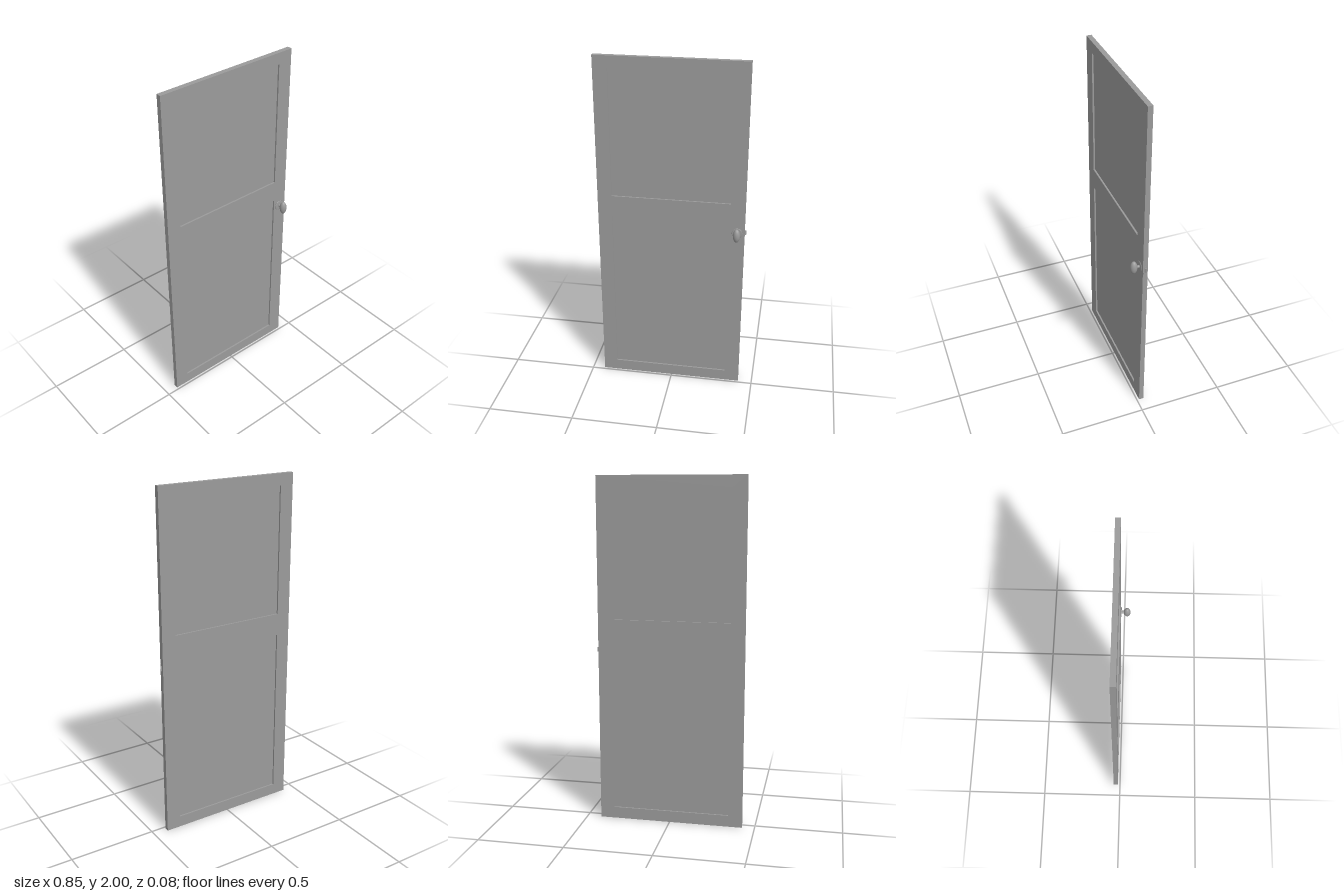
import * as THREE from 'three';

export function createModel() {
  const model = new THREE.Group();
  const material = new THREE.MeshStandardMaterial({ color: 0x9b9b9b });
  const add = (name, geometry, x = 0, y = 0, z = 0, parent = model) => {
    const mesh = new THREE.Mesh(geometry, material);
    mesh.name = name;
    mesh.position.set(x, y, z);
    parent.add(mesh);
    return mesh;
  };
  const rectangle = (target, x0, y0, x1, y1) => {
    target.moveTo(x0, y0);
    target.lineTo(x1, y0);
    target.lineTo(x1, y1);
    target.lineTo(x0, y1);
    target.closePath();
    return target;
  };

  // Door frame with two openings
  const left = -0.427, right = 0.417, back = -0.042, thickness = 0.028;
  const openings = [
    ['lowerPanel', -0.346, 0.067, 0.334, 1.068],
    ['upperPanel', -0.346, 1.196, 0.334, 1.934],
  ];
  const frame = rectangle(new THREE.Shape(), left, 0, right, 2);
  for (const [, ...bounds] of openings) frame.holes.push(rectangle(new THREE.Path(), ...bounds));
  add('doorFrame', new THREE.ExtrudeGeometry(frame, { depth: thickness, bevelEnabled: false }), 0, 0, back);

  // Panels recessed on both faces
  for (const [name, x0, y0, x1, y1] of openings) {
    add(name, new THREE.BoxGeometry(x1 - x0, y1 - y0, 0.009),
      (x0 + x1) / 2, (y0 + y1) / 2, back + thickness / 2);
  }

  // Knob: round rose, stem and upright oval grip
  const knob = new THREE.Group();
  knob.name = 'doorKnob';
  knob.position.set(0.375, 1.02, back + thickness);
  model.add(knob);
  const roseProfile = [[0, 0], [0.03, 0], [0.03, 0.002], [0.027, 0.004], [0, 0.004]]
    .map(([r, h]) => new THREE.Vector2(r, h));
  add('knobRose', new THREE.LatheGeometry(roseProfile, 32), 0, 0, 0, knob).rotation.x = Math.PI / 2;
  add('knobStem', new THREE.CylinderGeometry(0.008, 0.008, 0.024, 24), 0, 0, 0.014, knob).rotation.x = Math.PI / 2;
  add('knobGrip', new THREE.SphereGeometry(0.02, 32, 24), 0, 0, 0.036, knob).scale.y = 2;

  // Latch plate and wedge-shaped bolt on the door edge
  const latch = new THREE.Group();
  latch.name = 'latch';
  latch.position.set(right, 1.02, back + thickness / 2);
  model.add(latch);
  add('latchPlate', new THREE.BoxGeometry(0.002, 0.05, 0.018), 0, 0, 0, latch);
  const wedge = new THREE.Shape([[0, -0.006], [0.009, 0.003], [0.009, 0.005], [0, 0.006]]
    .map(([x, y]) => new THREE.Vector2(x, y)));
  const bolt = new THREE.ExtrudeGeometry(wedge, { depth: 0.026, bevelEnabled: false });
  bolt.translate(0, 0, -0.013);
  add('latchBolt', bolt, 0, 0, 0, latch).rotation.x = -Math.PI / 2;

  return model;
}
